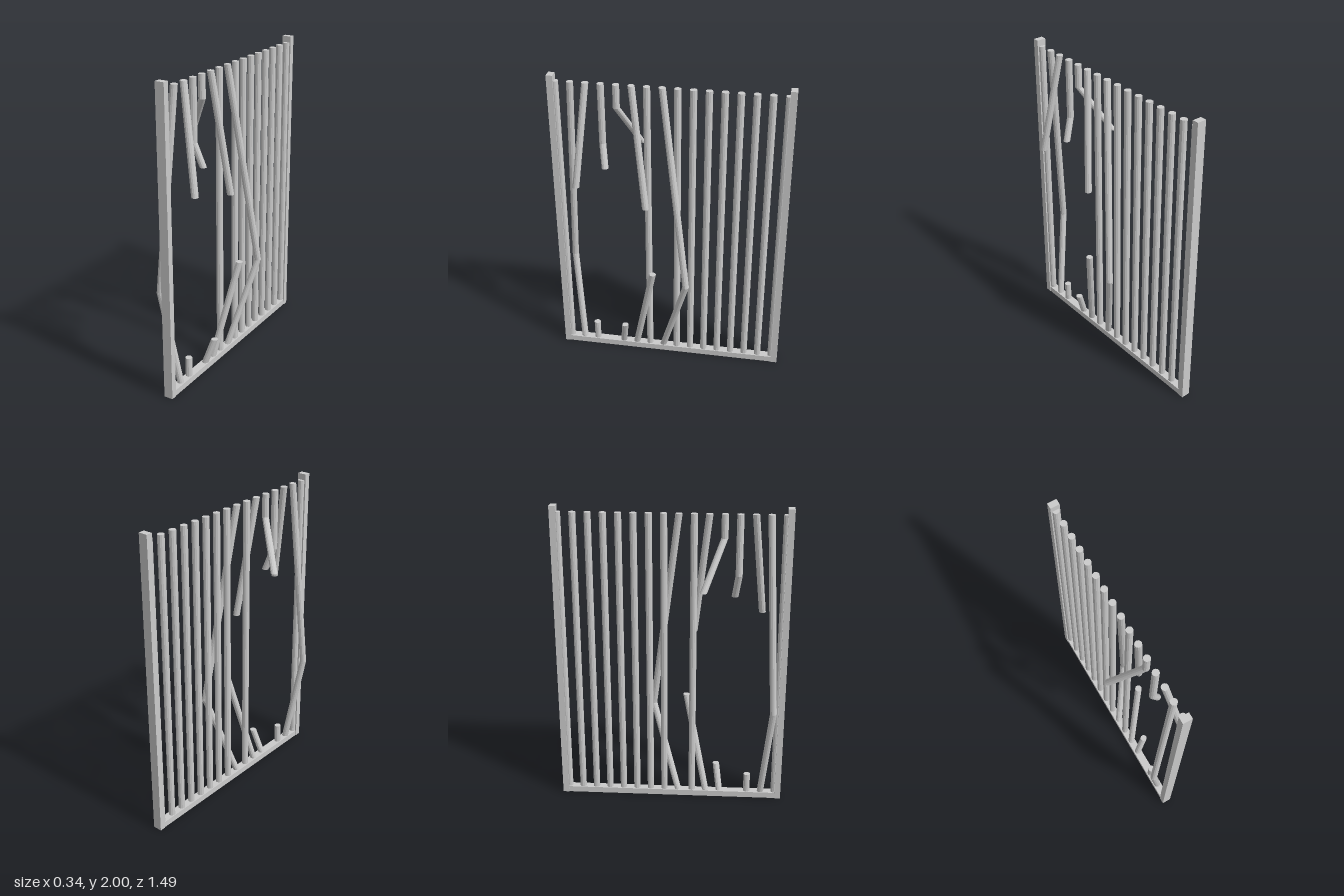
import * as THREE from 'three';

const X = 0.018;      // plane of the grille
const TOP = 1.96;     // upper end of the bars
const BASE = 0.035;   // bars sit just inside the sill
const R = 0.022;
const PITCH = 0.0935;

const material = new THREE.MeshStandardMaterial({ color: 0xcccccc, flatShading: true });

function box(name, w, h, d, y, z) {
  const mesh = new THREE.Mesh(new THREE.BoxGeometry(w, h, d), material);
  mesh.name = name;
  mesh.position.set(X, y, z);
  return mesh;
}

// A bar whose level cross-sections follow the given points, listed top to bottom
function bar(name, points) {
  const rows = points.length - 1;
  const geometry = new THREE.CylinderGeometry(R, R, 1, 12, rows);
  const p = geometry.attributes.position;
  for (let i = 0; i < p.count; i++) {
    const [x, y, z] = points[Math.round((0.5 - p.getY(i)) * rows)];
    p.setXYZ(i, p.getX(i) + x, y, p.getZ(i) + z);
  }
  geometry.computeVertexNormals();
  const mesh = new THREE.Mesh(geometry, material);
  mesh.name = name;
  return mesh;
}

export function createModel() {
  const group = new THREE.Group();
  group.name = 'brokenBarGate';
  const slot = (k) => (k + 0.5) * PITCH;
  const top = (k) => [X, TOP, slot(k)];
  const base = (k) => [X, BASE, slot(k)];

  // Frame: two posts and a sill
  group.add(box('frontPost', 0.06, 2, 0.04, 1, 0.725));
  group.add(box('backPost', 0.06, 2, 0.04, 1, -0.725));
  group.add(box('sill', 0.054, 0.04, 1.48, 0.02, 0));

  // Intact bars
  for (const k of [-8, -7, -6, -5, -4, -3, -2, -1, 1, 7]) {
    group.add(bar('straightBar', [top(k), base(k)]));
  }

  // Bars bowed outwards around the gap
  group.add(bar('bentBar', [top(0), [0.148, 0.63, -0.125], base(0)]));
  group.add(bar('bentBar', [top(6), [-0.076, 0.67, 0.668], base(6)]));

  // Broken pieces hanging from above
  group.add(bar('brokenUpperBar', [top(2), [0.1, 1.17, 0.143]]));
  group.add(bar('brokenUpperBar', [top(3), [X, 1.81, slot(3)], [-0.152, 1.51, 0.206]]));
  group.add(bar('brokenUpperBar', [top(4), [X, 1.57, slot(4)], [0.068, 1.42, 0.4]]));
  group.add(bar('brokenUpperBar', [top(5), [0.126, 1.3, 0.578]]));

  // Broken stubs rising from the sill
  group.add(bar('brokenLowerBar', [[0.138, 0.7, 0.095], base(2)]));
  group.add(bar('brokenLowerBar', [[0.077, 0.215, 0.302], base(3)]));
  group.add(bar('brokenLowerBar', [[X, 0.17, slot(5)], base(5)]));

  return group;
}
